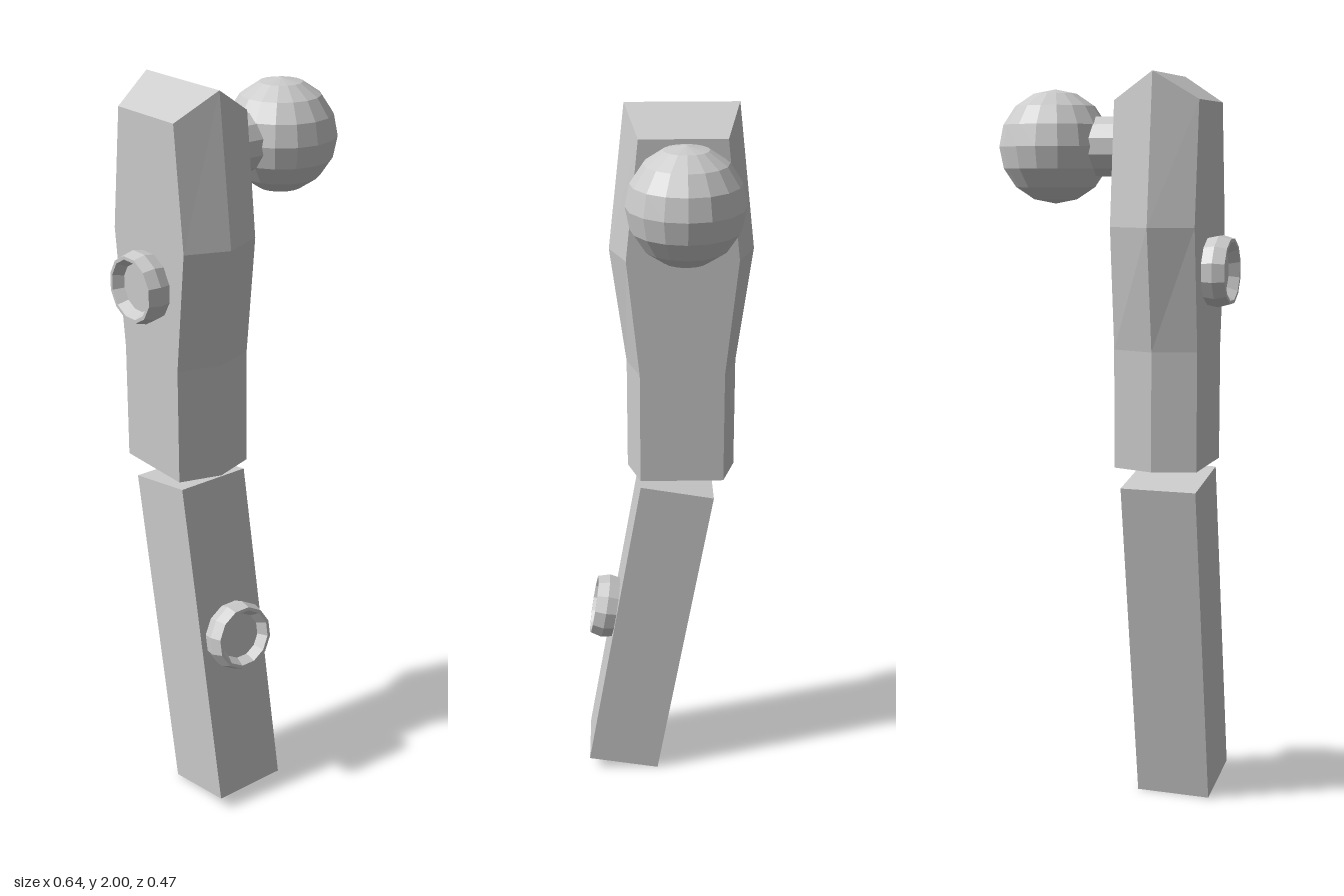
import * as THREE from 'three';

const material = new THREE.MeshStandardMaterial({ color: 0xcccccc, flatShading: true });

function addPart(parent, name, geometry, x = 0, y = 0, z = 0) {
  const flat = geometry.index ? geometry.toNonIndexed() : geometry;
  flat.computeVertexNormals();
  const mesh = new THREE.Mesh(flat, material);
  mesh.name = name;
  mesh.position.set(x, y, z);
  parent.add(mesh);
  return mesh;
}

// Six-sided body lofted from cross-sections, with a gabled top
function upperArmGeometry() {
  const w = 0.113;
  // [ridge y, side y, ridge half depth, side half depth]
  const sections = [
    [0.975, 0.975, 0.15, 0.115],
    [1.29, 1.29, 0.15, 0.115],
    [1.61, 1.61, 0.194, 0.149],
    [2.0, 1.93, 0.15, 0.115],
  ];
  const positions = [];
  for (const [yr, ys, r, s] of sections) {
    positions.push(0, yr, r, w, ys, s, w, ys, -s, 0, yr, -r, -w, ys, -s, -w, ys, s);
  }
  const index = [];
  for (let k = 0; k < sections.length - 1; k++) {
    for (let i = 0; i < 6; i++) {
      const a = k * 6 + i, b = k * 6 + (i + 1) % 6;
      index.push(a, b, b + 6, a, b + 6, a + 6);
    }
  }
  // Caps, each split along the ridge
  const t = (sections.length - 1) * 6;
  for (const [a, b, c] of [[0, 1, 2], [0, 2, 3], [0, 3, 4], [0, 4, 5]]) {
    index.push(t + a, t + b, t + c, a, c, b);
  }
  const geometry = new THREE.BufferGeometry();
  geometry.setAttribute('position', new THREE.Float32BufferAttribute(positions, 3));
  geometry.setIndex(index);
  return geometry;
}

// Bulged socket ring with a recessed floor, standing on y = 0
function socketGeometry() {
  const profile = [
    [0.09, 0], [0.096, 0.03], [0.087, 0.062], [0.078, 0.062], [0.063, 0.035], [0, 0.035],
  ].map(([r, y]) => new THREE.Vector2(r, y));
  return new THREE.LatheGeometry(profile, 12, Math.PI / 12);
}

export function createModel() {
  const model = new THREE.Group();
  model.name = 'jointedArm';
  const armX = -0.147, armZ = -0.04, jointY = 1.815;

  // Upper arm with shoulder ball and outer socket
  const upper = new THREE.Group();
  upper.name = 'upperArm';
  model.add(upper);
  addPart(upper, 'upperArmBody', upperArmGeometry(), armX, 0, armZ);

  const peg = new THREE.CylinderGeometry(0.08, 0.08, 0.2, 12, 1, false, Math.PI / 12);
  addPart(upper, 'shoulderPeg', peg, 0.02, jointY, armZ).rotation.z = -Math.PI / 2;
  addPart(upper, 'shoulderBall', new THREE.SphereGeometry(0.15, 16, 8), 0.17, jointY, armZ);
  addPart(upper, 'upperSocket', socketGeometry(), -0.26, 1.493, armZ).rotation.z = Math.PI / 2;

  // Forearm swung forward, with a socket on its front
  const forearm = new THREE.Group();
  forearm.name = 'forearm';
  forearm.position.set(armX, 0.477, 0.0525);
  forearm.rotation.x = -THREE.MathUtils.degToRad(10);
  model.add(forearm);
  addPart(forearm, 'forearmBody', new THREE.BoxGeometry(0.208, 0.924, 0.208));
  addPart(forearm, 'forearmSocket', socketGeometry(), 0, 0.013, 0.104).rotation.x = Math.PI / 2;

  return model;
}
